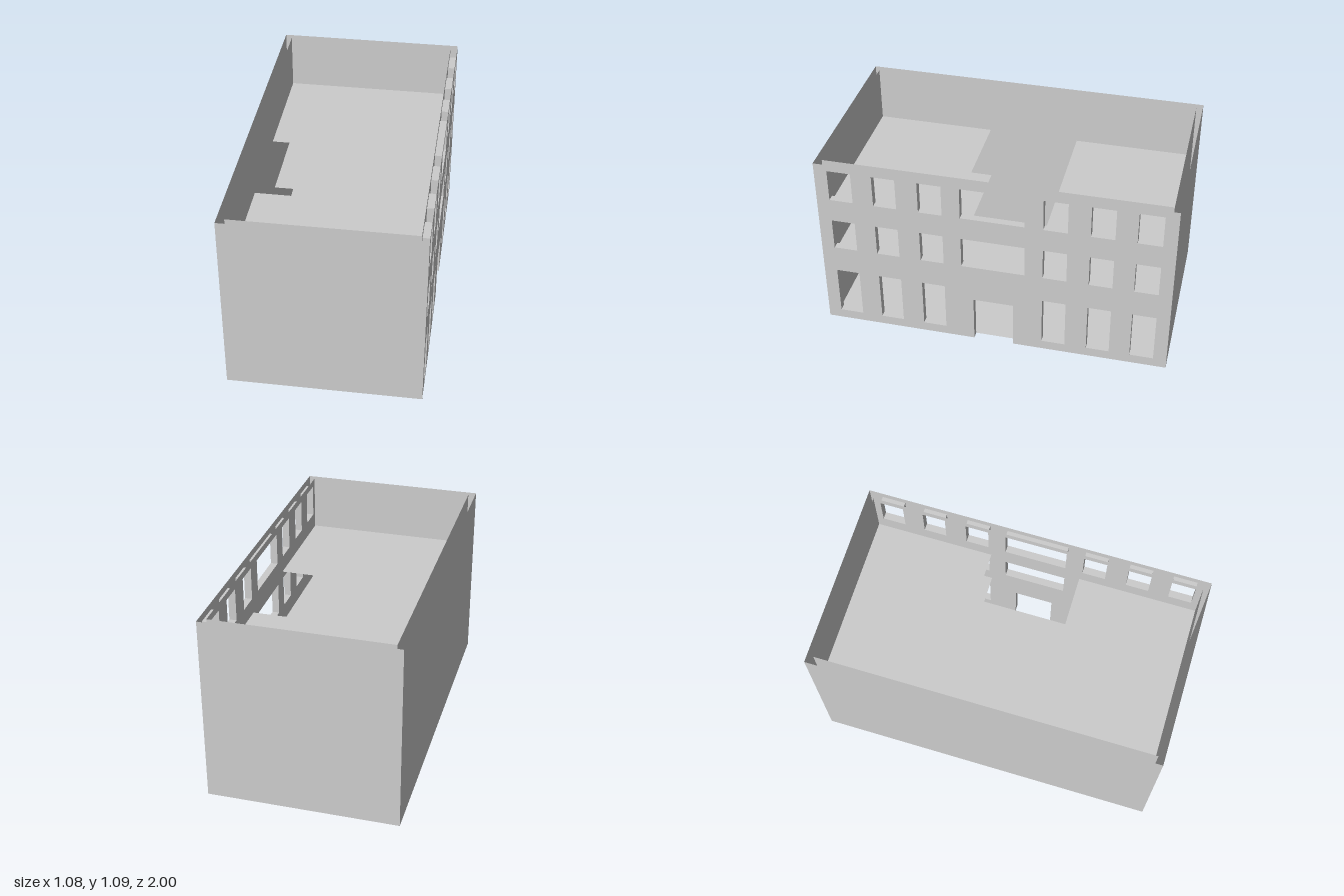
import * as THREE from 'three';

const H = 1.086, X = 0.542, Z = 1;        // outer shell
const XI = 0.5, ZI = 0.963;               // inner shell
const DOOR_W = 0.115, DOOR_H = 0.287;
const FACE_X = [0, Math.PI / 2, 0], FLAT = [-Math.PI / 2, 0, 0];

export function createModel() {
  const model = new THREE.Group();
  const plaster = new THREE.MeshStandardMaterial({ color: 0xcccccc, side: THREE.DoubleSide });
  plaster.name = 'plaster';

  const add = (name, geometry, pos, rot = [0, 0, 0]) => {
    const mesh = new THREE.Mesh(geometry, plaster);
    mesh.name = name;
    mesh.position.set(...pos);
    mesh.rotation.set(...rot);
    model.add(mesh);
  };
  const sheet = (name, w, h, pos, rot) => add(name, new THREE.PlaneGeometry(w, h), pos, rot);
  const shapeOf = (points) => new THREE.Shape(points.map(([x, y]) => new THREE.Vector2(x, y)));

  // Window openings: [z0, z1, y0, y1]
  const windows = [];
  const rows = [[0.056, 0.356], [0.521, 0.712], [0.853, 1.046]];
  rows.forEach(([y0, y1], row) => {
    for (const [a, b] of [[0.282, 0.416], [0.54, 0.672], [0.79, 0.925]]) {
      windows.push([a, b, y0, y1], [-b, -a, y0, y1]);
    }
    if (row > 0) windows.push([-0.18, 0.18, y0, y1]);
  });

  // Facade skins on +x, with window holes and a door notch
  const facade = (halfZ) => {
    const shape = shapeOf([[-halfZ, 0], [-DOOR_W, 0], [-DOOR_W, DOOR_H], [DOOR_W, DOOR_H],
      [DOOR_W, 0], [halfZ, 0], [halfZ, H], [-halfZ, H]]);
    for (const [z0, z1, y0, y1] of windows) {
      // the quarter turn maps local x to -z
      shape.holes.push(new THREE.Path([[-z1, y0], [-z1, y1], [-z0, y1], [-z0, y0]]
        .map(([x, y]) => new THREE.Vector2(x, y))));
    }
    return new THREE.ShapeGeometry(shape);
  };
  add('outerFacade', facade(Z), [X, 0, 0], FACE_X);
  add('innerFacade', facade(ZI), [XI, 0, 0], FACE_X);

  // Reveals joining the two skins around each opening
  const depth = X - XI, mid = (X + XI) / 2;
  const reveal = (name, z0, z1, y0, y1, hasSill) => {
    const zc = (z0 + z1) / 2, yc = (y0 + y1) / 2;
    for (const z of [z0, z1]) sheet(name + 'Jamb', depth, y1 - y0, [mid, yc, z]);
    sheet(name + 'Lintel', depth, z1 - z0, [mid, y1, zc], FLAT);
    if (hasSill) sheet(name + 'Sill', depth, z1 - z0, [mid, y0, zc], FLAT);
  };
  for (const w of windows) reveal('window', ...w, true);
  reveal('door', -DOOR_W, DOOR_W, 0, DOOR_H, false);

  // Plain back and end walls, each an outer and an inner skin, open at the top
  sheet('outerBackWall', 2 * Z, H, [-X, H / 2, 0], FACE_X);
  sheet('innerBackWall', 2 * ZI, H, [-XI, H / 2, 0], FACE_X);
  for (const s of [-1, 1]) {
    sheet('outerEndWall', 2 * X, H, [0, H / 2, s * Z]);
    sheet('innerEndWall', 2 * XI, H, [0, H / 2, s * ZI]);
    // Upper floors leave a full-height hall in the middle
    for (const y of [0.42, 0.758]) {
      sheet('upperFloor', 2 * XI, ZI - 0.268, [0, y, s * (ZI + 0.268) / 2], FLAT);
    }
  }

  // Ground floor, notched at the door
  add('groundFloor', new THREE.ShapeGeometry(shapeOf([[-X, -Z], [X, -Z], [X, -DOOR_W],
    [XI, -DOOR_W], [XI, DOOR_W], [X, DOOR_W], [X, Z], [-X, Z]])), [0, 0, 0], FLAT);

  return model;
}
